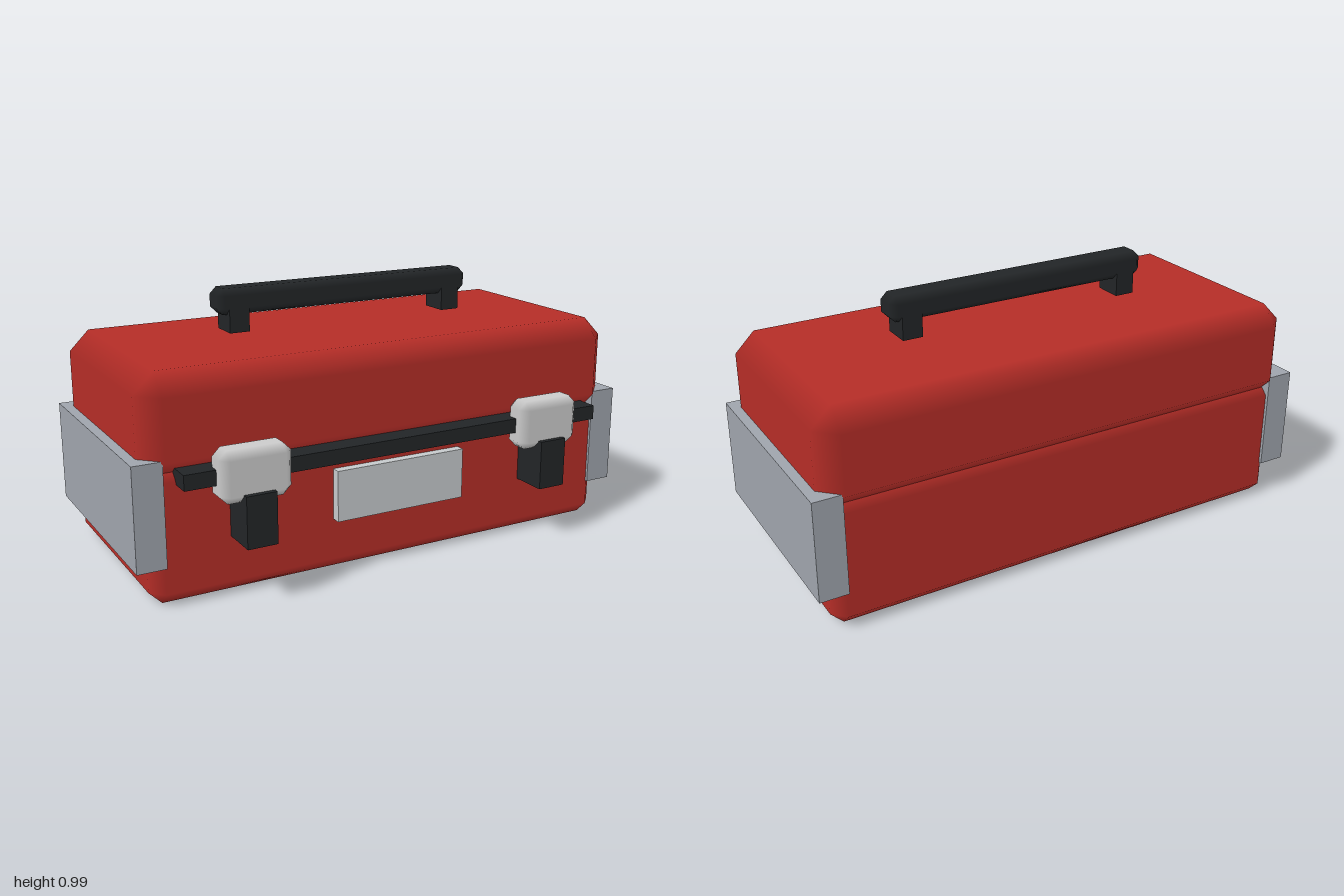
import * as THREE from 'three';
import { ConvexGeometry } from 'three/addons/geometries/ConvexGeometry.js';

const material = (color) => new THREE.MeshStandardMaterial({ color });

// Box with single-step bevels; normals follow the flat faces so the bevels shade softly.
function bevelBox(w, h, d, c) {
  const half = [w / 2, h / 2, d / 2];
  const points = [];
  for (let axis = 0; axis < 3; axis++)
    for (const sx of [-1, 1]) for (const sy of [-1, 1]) for (const sz of [-1, 1]) {
      const s = [sx, sy, sz];
      points.push(new THREE.Vector3(...half.map((v, i) => s[i] * (i === axis ? v : v - c))));
    }
  const geometry = new ConvexGeometry(points);
  const p = geometry.attributes.position, n = geometry.attributes.normal;
  for (let i = 0; i < p.count; i++) {
    const v = [p.getX(i), p.getY(i), p.getZ(i)];
    n.setXYZ(i, ...v.map((q, k) => (Math.abs(q) > half[k] - c / 2 ? Math.sign(q) : 0)));
  }
  return geometry;
}

// Adds a block given its extents on each axis, bevelled if a bevel width is given.
function block(parent, name, mat, [x0, x1], [y0, y1], [z0, z1], bevel = 0) {
  const size = [x1 - x0, y1 - y0, z1 - z0];
  const geometry = bevel ? bevelBox(...size, bevel) : new THREE.BoxGeometry(...size);
  const mesh = new THREE.Mesh(geometry, mat);
  mesh.name = name;
  mesh.position.set((x0 + x1) / 2, (y0 + y1) / 2, (z0 + z1) / 2);
  parent.add(mesh);
}

export function createModel() {
  const model = new THREE.Group();
  model.name = 'toolbox';
  const red = material(0xb52d27);
  const black = material(0x222527);
  const steel = material(0x9fa4ac);
  const chrome = material(0xd2d2d6);
  const plate = material(0xc6cacc);

  // Body and lid, meeting in a bevelled groove
  block(model, 'base', red, [-0.945, 0.945], [0, 0.49], [-0.475, 0.355], 0.047);
  block(model, 'lid', red, [-0.963, 0.963], [0.44, 0.81], [-0.495, 0.375], 0.075);

  // Front trim and label
  block(model, 'frontRail', black, [-0.848, 0.848], [0.432, 0.487], [0.31, 0.43]);
  block(model, 'labelPlate', plate, [-0.263, 0.263], [0.2, 0.39], [0.335, 0.39]);

  // Grip
  block(model, 'handleGrip', black, [-0.53, 0.53], [0.896, 0.992], [-0.114, -0.003], 0.025);

  // Mirrored pairs
  for (const [side, s] of [['left', 1], ['right', -1]]) {
    const span = (a, b) => (s > 0 ? [a, b] : [-b, -a]);
    block(model, side + 'EndPlate', steel, span(0.893, 1), [0.146, 0.522], [-0.487, 0.365]);
    block(model, side + 'HandlePost', black, span(0.413, 0.49), [0.832, 0.935], [-0.114, -0.003]);
    block(model, side + 'Latch', chrome, span(0.473, 0.735), [0.367, 0.553], [0.363, 0.477], 0.03);
    block(model, side + 'LatchTab', black, span(0.547, 0.659), [0.214, 0.401], [0.33, 0.496]);
  }
  return model;
}
